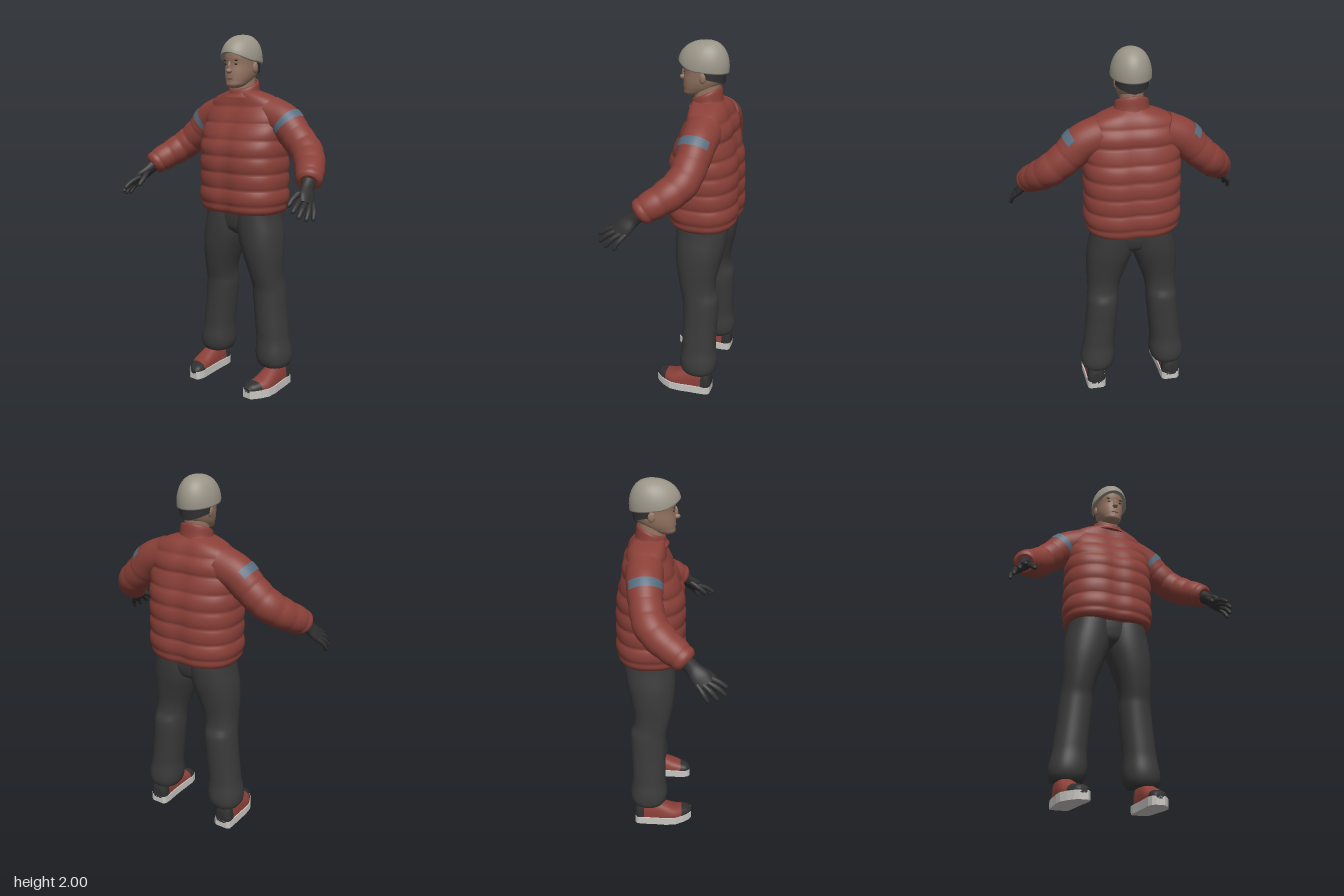
import * as THREE from 'three';
import { mergeGeometries } from 'three/addons/utils/BufferGeometryUtils.js';

const mat = (name, color, side = THREE.FrontSide) => Object.assign(new THREE.MeshStandardMaterial({ color, side }), { name });
const TAU = Math.PI * 2;
const sp = (c, n) => Math.sign(c) * Math.pow(Math.abs(c), 2 / n);

// Smooth interpolation through rows [t, a, b, ...]
function interp(rows) {
  const size = rows[0].length - 1;
  const f = new THREE.CubicInterpolant(rows.map(r => r[0]), rows.flatMap(r => r.slice(1)), size, new Float32Array(size));
  return t => Array.from(f.evaluate(t));
}

// Skin over rings fn(u, v) -> [x, y, z]; closed rings get end caps
function grid(nu, nv, fn, closed = true) {
  const pos = [], idx = [], cols = closed ? nu : nu + 1;
  for (let j = 0; j <= nv; j++) for (let i = 0; i < cols; i++) pos.push(...fn(i / nu, j / nv));
  for (let j = 0; j < nv; j++) for (let i = 0; i < nu; i++) {
    const k = (i + 1) % cols, a = j * cols + i, b = j * cols + k, c = b + cols, d = a + cols;
    idx.push(a, b, c, a, c, d);
  }
  if (closed) for (const v of [0, 1]) {
    const base = pos.length / 3, mid = [0, 0, 0];
    for (let i = 0; i < nu; i++) {
      const p = fn(i / nu, v);
      pos.push(...p);
      p.forEach((q, k) => { mid[k] += q / nu; });
    }
    pos.push(...mid);
    for (let i = 0; i < nu; i++) {
      const a = base + i, b = base + (i + 1) % nu;
      idx.push(base + nu, v ? a : b, v ? b : a);
    }
  }
  const g = new THREE.BufferGeometry();
  g.setAttribute('position', new THREE.Float32BufferAttribute(pos, 3));
  g.setIndex(idx);
  g.computeVertexNormals();
  return g;
}

// Upright loft from rows [y, centreX, halfWidth, frontZ, backZ]
function loft(rows, { n = 2.2, nu = 40, nv = 40, puff = () => 0, crease = 0 } = {}) {
  const f = interp(rows), y0 = rows[0][0], y1 = rows.at(-1)[0];
  return grid(nu, nv, (u, v) => {
    const y = y0 + (y1 - y0) * v, [cx, rx, zf, zb] = f(y), a = u * TAU, p = puff(y);
    const x = (rx - p) * sp(Math.sin(a), n);
    const depth = ((zf - zb) / 2 - p) * (1 - crease * Math.exp(-((x / 0.05) ** 2)));
    return [cx + x, y, (zf + zb) / 2 + depth * sp(Math.cos(a), n)];
  });
}

// Point on a swept tube; radii rows [t, r1, r2], angle 0 faces forward, then down
function sweeper(points, radii) {
  const curve = new THREE.CatmullRomCurve3(points.map(p => new THREE.Vector3(...p))), f = interp(radii);
  return (a, t, off = 0) => {
    const [r1, r2] = f(t), c = curve.getPoint(t), d = curve.getTangent(t);
    const n1 = new THREE.Vector3(0, 0, 1).addScaledVector(d, -d.z).normalize();
    const n2 = d.clone().cross(n1);
    return c.addScaledVector(n1, (r1 + off) * Math.cos(a)).addScaledVector(n2, (r2 + off) * Math.sin(a)).toArray();
  };
}

function ball(x, y, z, sx, sy, sz) {
  return new THREE.SphereGeometry(1, 16, 12).scale(sx, sy, sz).translate(x, y, z);
}

function mirrored(geo) {
  const g = geo.clone().scale(-1, 1, 1), ix = g.index.array;
  for (let i = 0; i < ix.length; i += 3) [ix[i], ix[i + 1]] = [ix[i + 1], ix[i]];
  return g;
}

export function createModel() {
  const group = new THREE.Group();
  const red = mat('red fabric', 0x8a4038), trouser = mat('charcoal fabric', 0x3a3a3b), black = mat('black rubber', 0x303031);
  const blue = mat('blue band', 0x586c7e, THREE.DoubleSide), shell = mat('helmet grey', 0x9a9487), skin = mat('skin', 0x967663);
  const hairMat = mat('dark hair', 0x303032, THREE.DoubleSide), white = mat('sole white', 0xc9c7c3), lip = mat('lips', 0x7d5a4e);
  const add = (name, geo, m) => {
    const mesh = new THREE.Mesh(geo, m);
    mesh.name = name;
    group.add(mesh);
  };
  const pair = (name, geo, m) => {
    add(name + 'Left', geo, m);
    add(name + 'Right', mirrored(geo), m);
  };

  // Quilted jacket body
  const quilt = (s, d) => 0.010 * (1 - Math.pow(Math.abs(Math.sin(Math.PI * s / d)), 0.6));
  add('jacketBody', loft([
    [1.03, 0, 0.24, 0.08, -0.275], [1.05, 0, 0.255, 0.093, -0.287], [1.2, 0, 0.263, 0.098, -0.293], [1.32, 0, 0.263, 0.098, -0.29],
    [1.4, 0, 0.262, 0.09, -0.282], [1.5, 0, 0.258, 0.052, -0.257], [1.58, 0, 0.245, 0.015, -0.245],
    [1.64, 0, 0.22, -0.008, -0.22], [1.675, 0, 0.165, -0.015, -0.2], [1.7, 0, 0.085, -0.02, -0.175],
  ], { n: 2.5, nu: 72, nv: 84, crease: 0.07, puff: y => (y < 1.66 ? quilt(y - 0.985, 0.09) : 0) }), red);

  // Collar, higher at the nape, with a rolled lip
  const collarRows = interp([[0, 0.12, 0.095, 1.665, 0], [0.3, 0.095, 0.083, 1.69, 0.01], [0.75, 0.085, 0.073, 1.735, 0.03], [0.88, 0.076, 0.065, 1.738, 0.03], [1, 0.066, 0.056, 1.715, 0.03]]);
  add('collar', grid(40, 20, (u, v) => {
    const [rx, rz, y, tilt] = collarRows(v), a = u * TAU;
    return [rx * Math.sin(a), y - tilt * Math.cos(a), -0.092 + rz * Math.cos(a)];
  }), red);

  // Sleeves and arm bands
  const arm = sweeper(
    [[0.16, 1.575, -0.12], [0.26, 1.535, -0.12], [0.34, 1.46, -0.112], [0.42, 1.39, -0.09], [0.48, 1.335, -0.03], [0.53, 1.285, 0.05], [0.55, 1.255, 0.09]],
    [[0, 0.1, 0.1], [0.17, 0.093, 0.096], [0.33, 0.088, 0.09], [0.5, 0.088, 0.087], [0.67, 0.083, 0.082], [0.83, 0.073, 0.073], [0.95, 0.066, 0.066], [1, 0.056, 0.056]]);
  pair('sleeve', grid(36, 70, (u, v) => arm(u * TAU, v, v > 0.3 ? -0.5 * quilt(v - 0.3, 0.14) : 0)), red);
  pair('armBand', grid(32, 4, (u, v) => arm((-0.8 + 1.45 * u) * Math.PI, 0.185 + 0.055 * v, 0.004), false), blue);

  // Gloves: wrist and palm, then rounded fingers
  const palm = sweeper([[0.545, 1.265, 0.075], [0.56, 1.23, 0.115], [0.583, 1.195, 0.15], [0.603, 1.163, 0.18]],
    [[0, 0.04, 0.038], [0.33, 0.038, 0.028], [0.7, 0.049, 0.022], [1, 0.04, 0.014]]);
  const finger = (points, r) => {
    const f = sweeper(points, [[0, r, r], [0.5, r, r], [1, r * 0.8, r * 0.8]]);
    return grid(12, 16, (u, v) => {
      const t = 1 - (1 - v) ** 2, k = THREE.MathUtils.clamp((t - 0.85) / 0.15, 0, 0.99);
      return f(u * TAU, t, -r * 0.8 * (1 - Math.sqrt(1 - k * k)));
    });
  };
  pair('glove', mergeGeometries([
    grid(24, 16, (u, v) => palm(u * TAU, v)),
    finger([[0.57, 1.195, 0.175], [0.582, 1.17, 0.235], [0.587, 1.135, 0.287]], 0.014),
    finger([[0.588, 1.18, 0.17], [0.608, 1.15, 0.23], [0.615, 1.108, 0.277]], 0.014),
    finger([[0.6, 1.17, 0.155], [0.625, 1.138, 0.2], [0.635, 1.092, 0.238]], 0.0135),
    finger([[0.605, 1.165, 0.135], [0.634, 1.13, 0.165], [0.645, 1.087, 0.19]], 0.0125),
    finger([[0.555, 1.225, 0.125], [0.53, 1.195, 0.18], [0.525, 1.15, 0.235]], 0.015),
  ]), black);

  // Trousers
  pair('trouserLeg', loft([
    [0.13, 0.212, 0.083, -0.03, -0.205], [0.145, 0.212, 0.094, -0.018, -0.217], [0.3, 0.2, 0.091, -0.018, -0.213], [0.45, 0.184, 0.09, -0.018, -0.215],
    [0.56, 0.174, 0.09, -0.015, -0.218], [0.6, 0.172, 0.088, -0.012, -0.216], [0.64, 0.168, 0.088, -0.002, -0.2],
    [0.7, 0.16, 0.095, 0.012, -0.196], [0.8, 0.143, 0.114, 0.03, -0.213], [0.9, 0.124, 0.127, 0.038, -0.234],
    [1, 0.11, 0.122, 0.038, -0.245], [1.06, 0.105, 0.12, 0.035, -0.245],
  ], { nv: 56 }), trouser);
  add('trouserSeat', loft([[0.89, 0, 0.05, -0.04, -0.15], [0.92, 0, 0.11, 0.005, -0.2], [0.97, 0, 0.15, 0.022, -0.225], [1.06, 0, 0.17, 0.03, -0.235]], { nv: 12 }), trouser);

  // Shoes: heel, upper and toe cap are slices of one form [z, centreX, halfWidth, height]
  const shoeRows = [[-0.2, 0.228, 0.03, 0.1], [-0.188, 0.228, 0.045, 0.14], [-0.15, 0.228, 0.05, 0.155], [-0.08, 0.229, 0.053, 0.148], [-0.02, 0.23, 0.058, 0.122],
    [0.04, 0.226, 0.059, 0.094], [0.085, 0.213, 0.05, 0.082], [0.12, 0.204, 0.034, 0.07], [0.135, 0.202, 0.018, 0.055]];
  const shoe = interp(shoeRows);
  const shoeSlice = (z0, z1, grow) => grid(28, 16, (u, v) => {
    const z = z0 + (z1 - z0) * v, [cx, w, h] = shoe(z), a = u * TAU, s = sp(Math.sin(a), 2.5);
    return [cx + (w + grow) * sp(Math.cos(a), 2.5), 0.042 + (s > 0 ? s * (h - 0.042 + grow) : s * 0.01), z];
  });
  pair('shoeUpper', shoeSlice(-0.15, 0.08, 0), red);
  pair('shoeHeel', shoeSlice(-0.2, -0.148, 0.002), black);
  pair('shoeToeCap', shoeSlice(0.076, 0.135, 0.002), black);
  const outline = [...shoeRows.map(([z, c, w]) => [c + w + 0.007, z]), ...shoeRows.map(([z, c, w]) => [c - w - 0.007, z]).reverse()];
  const soleShape = new THREE.Shape(outline.map(p => new THREE.Vector2(...p)));
  const sole = new THREE.ExtrudeGeometry(soleShape, { depth: 0.046, bevelEnabled: false }).rotateX(Math.PI / 2).translate(0, 0.046, 0);
  sole.setIndex([...Array(sole.attributes.position.count).keys()]);
  pair('shoeSole', sole, white);

  // Head and neck
  add('neck', loft([[1.66, 0, 0.064, -0.03, -0.155], [1.72, 0, 0.06, -0.025, -0.155], [1.8, 0, 0.06, -0.02, -0.16]], { nv: 8 }), skin);
  add('head', loft([
    [1.716, 0, 0.02, 0.018, -0.03], [1.724, 0, 0.04, 0.031, -0.06], [1.75, 0, 0.06, 0.035, -0.12], [1.79, 0, 0.074, 0.036, -0.165],
    [1.84, 0, 0.08, 0.033, -0.183], [1.88, 0, 0.083, 0.038, -0.185], [1.93, 0, 0.078, 0.03, -0.172], [1.97, 0, 0.045, -0.01, -0.13],
  ]), skin);
  add('nose', mergeGeometries([ball(0, 1.806, 0.039, 0.016, 0.014, 0.021), ball(0, 1.828, 0.034, 0.009, 0.03, 0.014)]), skin);
  add('mouth', ball(0, 1.766, 0.031, 0.022, 0.006, 0.008), lip);
  pair('ear', ball(0.08, 1.825, -0.088, 0.012, 0.03, 0.02), skin);
  pair('eye', ball(0.032, 1.842, 0.024, 0.012, 0.005, 0.005), hairMat);
  pair('eyebrow', ball(0.033, 1.862, 0.026, 0.018, 0.004, 0.005), hairMat);

  // Hair showing below the helmet, behind the ears
  add('hair', grid(28, 8, (u, v) => {
    const a = (0.55 + 0.9 * u) * Math.PI, low = 1.785 + 0.035 * Math.abs(2 * u - 1);
    return [0.088 * sp(Math.sin(a), 2.2), low + (1.89 - low) * v, -0.075 + (0.108 + 0.008 * v) * sp(Math.cos(a), 2.2)];
  }, false), hairMat);

  // Helmet: dome with the rim raised over the brow
  add('helmet', grid(48, 24, (u, v) => {
    const a = u * TAU, c = Math.cos(a), rim = 1.857 + (c > 0 ? 0.046 * c * c : 0.016 * c);
    const lift = Math.max(0, (v - 0.06) / 0.94) * Math.PI / 2, r = v < 0.04 ? 0.88 : Math.pow(Math.max(0, Math.cos(lift)), 0.85);
    return [0.106 * r * Math.sin(a), rim + (2 - rim) * Math.sin(lift), -0.07 - 0.018 * Math.sin(lift) + 0.132 * r * c];
  }), shell);
  return group;
}
